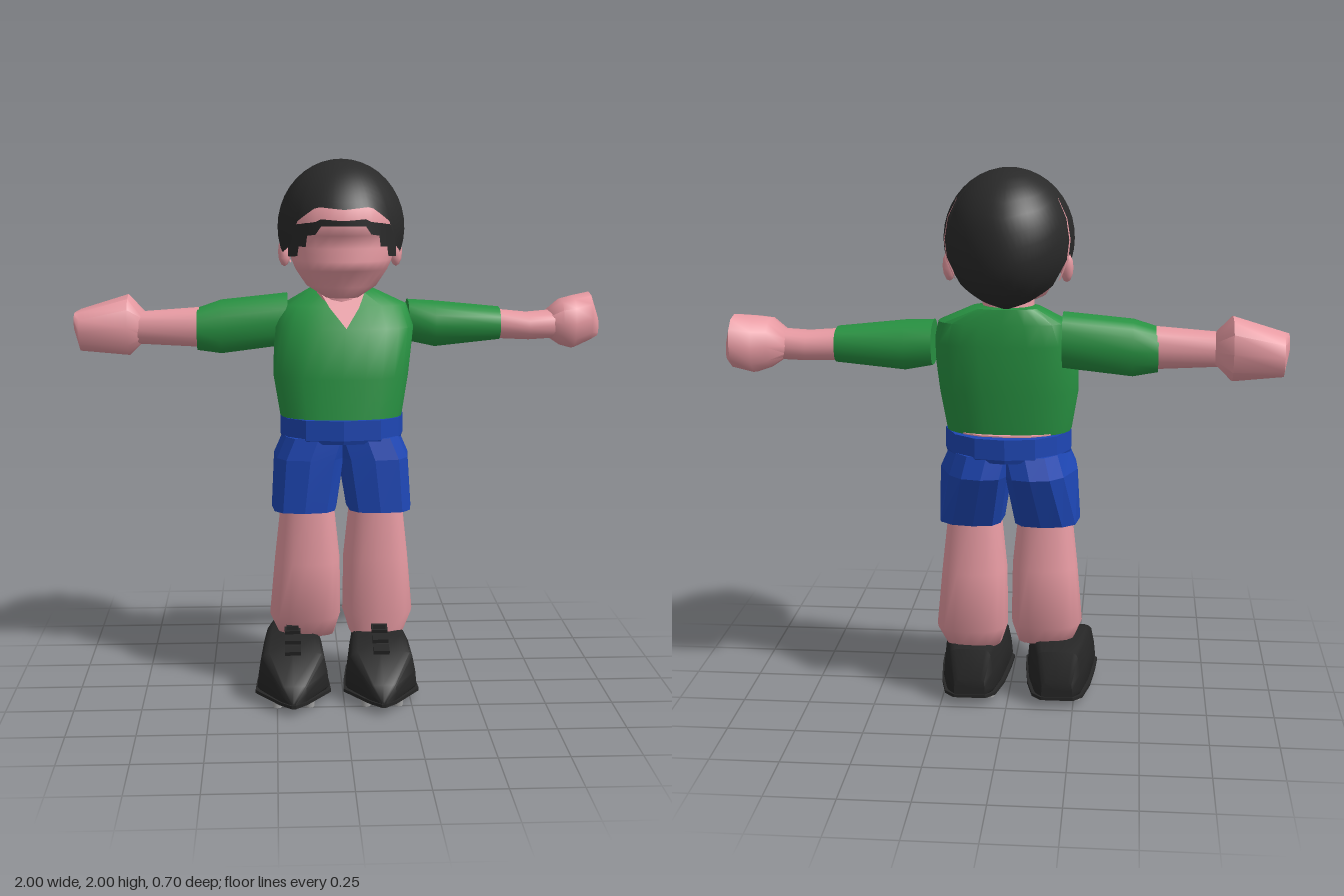
import * as THREE from 'three';
import { toCreasedNormals } from 'three/addons/utils/BufferGeometryUtils.js';

const mat = (name, color) => Object.assign(new THREE.MeshStandardMaterial({ color }), { name });
const skin = mat('skin', 0xe89ba3);
const green = mat('shirt green', 0x289242);
const blue = mat('shorts blue', 0x1e47b5);
const black = mat('boot black', 0x262626);
const dark = mat('hair black', 0x292929);
const grey = mat('stud grey', 0xa8a8a8);
dark.side = skin.side = THREE.DoubleSide;

export function createModel() {
  const model = new THREE.Group();

  const add = (name, geometry, material, x = 0, y = 0, z = 0) => {
    const mesh = new THREE.Mesh(geometry, material);
    mesh.name = name;
    mesh.position.set(x, y, z);
    model.add(mesh);
    return mesh;
  };

  const fromData = (pos, idx, crease) => {
    const g = new THREE.BufferGeometry();
    g.setAttribute('position', new THREE.Float32BufferAttribute(pos, 3));
    g.setIndex(idx);
    return toCreasedNormals(g, crease);
  };

  // Loft along an axis. Section: [t, a0, a1, b0, b1]; a and b are the next axes in x-y-z-x order.
  const loft = (axis, sections, { n = 16, p = 0.8, crease = 0.75, rule } = {}) => {
    const pos = [], idx = [];
    const pw = v => Math.sign(v) * Math.pow(Math.abs(v), p);
    const put = (t, a, b) => {
      const v = [0, 0, 0];
      v[axis] = t; v[(axis + 1) % 3] = a; v[(axis + 2) % 3] = b;
      if (rule) rule(v);
      pos.push(...v);
    };
    for (const [t, a0, a1, b0, b1] of sections)
      for (let i = 0; i < n; i++) {
        const r = (i / n) * Math.PI * 2;
        put(t, (a0 + a1) / 2 + (a1 - a0) / 2 * pw(Math.cos(r)), (b0 + b1) / 2 + (b1 - b0) / 2 * pw(Math.sin(r)));
      }
    const last = (sections.length - 1) * n;
    for (const s of [sections[0], sections.at(-1)]) put(s[0], (s[1] + s[2]) / 2, (s[3] + s[4]) / 2);
    for (let i = 0; i < n; i++) {
      const j = (i + 1) % n;
      for (let k = 0; k < last; k += n) idx.push(k + i, k + j, k + n + j, k + i, k + n + j, k + n + i);
      idx.push(last + n, j, i, last + n + 1, last + i, last + j);
    }
    return fromData(pos, idx, crease);
  };

  // Strip of quads between pairs of points
  const strip = pairs => {
    const idx = [];
    for (let i = 2; i < pairs.length * 2; i += 2) idx.push(i - 2, i - 1, i + 1, i - 2, i + 1, i);
    return fromData(pairs.flat(), idx, 0.5);
  };

  // Head: y, back, front, right, left
  add('head', loft(1, [
    [1.5, -0.03, 0.07, -0.06, 0.06], [1.54, -0.16, 0.09, -0.13, 0.13], [1.6, -0.18, 0.11, -0.17, 0.17],
    [1.637, -0.19, 0.15, -0.185, 0.185], [1.68, -0.2, 0.09, -0.195, 0.195], [1.73, -0.2, 0.145, -0.2, 0.2],
    [1.78, -0.2, 0.145, -0.2, 0.2], [1.85, -0.2, 0.12, -0.19, 0.19], [1.94, -0.15, 0.02, -0.1, 0.1],
  ], { n: 24, p: 1, crease: 2 }), skin);
  add('neck', loft(1, [[1.43, -0.21, -0.03, -0.1, 0.1], [1.58, -0.19, -0.03, -0.09, 0.09]], { p: 1 }), skin);
  for (const s of [-1, 1]) {
    const ear = add('ear', new THREE.SphereGeometry(1, 8, 6), skin, s * 0.21, 1.655, -0.145);
    ear.scale.set(0.024, 0.055, 0.03);
    ear.rotation.x = -0.2;
  }

  // Hair: ellipsoid shell whose lower edge height follows the angle from the front
  const edge = [[0, 1.825], [0.45, 1.835], [0.8, 1.78], [0.95, 1.7], [1.1, 1.68], [1.4, 1.66], [1.85, 1.7],
    [1.93, 1.72], [2.03, 1.6], [2.5, 1.54], [3.15, 1.51]];
  const edgeY = a => {
    const i = edge.findIndex(e => e[0] >= a) || 1;
    const [p, q] = [edge[i - 1], edge[i]];
    return p[1] + (q[1] - p[1]) * (a - p[0]) / (q[0] - p[0]);
  };
  // The back of the skull shape is fuller toward the nape
  const onSkull = (a, t, grow = 0) => [
    (0.235 + grow) * Math.sin(t) * Math.sin(a), 1.75 + 0.25 * Math.cos(t),
    -0.08 + (0.27 + grow) * Math.sin(t) * Math.cos(a) - 0.05 * Math.max(0, -Math.cos(t)) * Math.max(0, -Math.cos(a)),
  ];
  const cols = 64, rows = 12, hp = [], hi = [];
  for (let c = 0; c <= cols; c++) {
    const a = (c / cols) * Math.PI * 2 - Math.PI;
    const max = Math.acos((edgeY(Math.abs(a)) - 1.75) / 0.25);
    for (let r = 0; r <= rows; r++) {
      const v = onSkull(a, max * r / rows);
      // The fringe juts forward toward its edge
      v[2] += 0.022 * Math.max(0, Math.cos(a)) * (r / rows) ** 3;
      hp.push(...v);
      if (c < cols && r < rows) {
        const k = c * (rows + 1) + r, m = k + rows + 1;
        hi.push(k, k + 1, m + 1, k, m + 1, m);
      }
    }
  }
  add('hair', fromData(hp, hi, 0.5), dark);

  // Narrow skin parting behind each ear
  for (const s of [-1, 1])
    add('parting', strip([0, 0.25, 0.5, 0.75, 1].map(k => {
      const t = 0.93 + 1.22 * k, w = 0.008 + 0.03 * k;
      return [...onSkull(s * (1.95 - w), t, 0.004), ...onSkull(s * (1.95 + w), t, 0.004)];
    })), skin);

  // Jagged dark locks lying on the forehead: x, top, bottom
  const half = [[0.02, 1.785, 1.765], [0.08, 1.79, 1.765], [0.1, 1.78, 1.735], [0.13, 1.775, 1.73],
    [0.135, 1.775, 1.69], [0.16, 1.77, 1.69], [0.165, 1.77, 1.655], [0.197, 1.76, 1.65]];
  const locks = [...half.map(([x, t, b]) => [-x, t, b]).reverse(), ...half];
  add('foreheadLocks', strip(locks.map(([x, t, b]) => {
    const z = -0.02 + 0.178 * Math.sqrt(1 - (x / 0.205) ** 2);
    return [x, t, z, x, b, z];
  })), dark);

  // Shirt body and open neckline
  add('shirt', loft(1, [
    [1.05, -0.22, 0.085, -0.23, 0.23], [1.2, -0.24, 0.07, -0.255, 0.255], [1.38, -0.25, 0.045, -0.25, 0.275],
    [1.46, -0.25, -0.03, -0.22, 0.25], [1.515, -0.24, -0.08, -0.12, 0.13],
  ], { n: 24 }), green);
  add('neckline', fromData([0.015, 1.385, 0.053, -0.045, 1.457, -0.012, 0.065, 1.457, -0.012,
    -0.08, 1.515, -0.065, 0.09, 1.515, -0.065], [0, 2, 1, 1, 2, 4, 1, 4, 3], 0.5), skin);

  // Arms: x, bottom, top, back, front
  add('rightSleeve', loft(0, [
    [-0.54, 1.285, 1.445, -0.235, -0.06], [-0.45, 1.27, 1.475, -0.255, -0.06], [-0.2, 1.3, 1.5, -0.27, -0.07],
  ]), green);
  add('rightForearm', loft(0, [[-0.78, 1.31, 1.43, -0.22, -0.09], [-0.5, 1.295, 1.45, -0.235, -0.065]]), skin);
  add('rightHand', loft(0, [
    [-1, 1.36, 1.43, -0.2, -0.1], [-0.98, 1.28, 1.44, -0.27, -0.08], [-0.8, 1.262, 1.495, -0.3, -0.06],
    [-0.74, 1.32, 1.43, -0.24, -0.1],
  ], { n: 12, crease: 1 }), skin);
  add('leftSleeve', loft(0, [
    [0.26, 1.31, 1.47, -0.3, -0.1], [0.36, 1.29, 1.465, -0.3, -0.075], [0.61, 1.315, 1.44, -0.28, -0.11],
  ]), green);
  add('leftForearm', loft(0, [[0.56, 1.32, 1.435, -0.27, -0.12], [0.72, 1.315, 1.42, -0.26, -0.1],
    [0.84, 1.32, 1.43, -0.26, -0.12]]), skin);
  add('leftHand', loft(0, [
    [0.79, 1.33, 1.42, -0.26, -0.13], [0.85, 1.29, 1.47, -0.3, -0.1], [0.9, 1.275, 1.48, -0.33, -0.11],
    [0.97, 1.3, 1.49, -0.355, -0.15], [1, 1.32, 1.4, -0.28, -0.19],
  ], { n: 12, crease: 1 }), skin);

  // Shorts: waistband plus two flared legs, narrowing toward the back
  const faceted = {
    n: 12, p: 0.75, crease: 0.1,
    rule: v => { v[0] *= 1 - 1.8 * Math.max(0, -0.14 - v[2]); },
  };
  add('waistband', loft(1, [[0.96, -0.275, 0.1, -0.225, 0.23], [0.975, -0.28, 0.105, -0.23, 0.235],
    [1.05, -0.28, 0.105, -0.23, 0.235]], faceted), blue);
  add('waist', loft(1, [[1, -0.24, 0.07, -0.2, 0.2], [1.055, -0.24, 0.08, -0.2, 0.2]]), skin);
  for (const s of [-1, 1]) {
    const span = (inner, outer) => s > 0 ? [inner, outer] : [-outer, -inner];
    add(s > 0 ? 'leftShortsLeg' : 'rightShortsLeg', loft(1, [
      [0.7, -0.2, 0.1, ...span(0.018, 0.265)], [0.9, -0.285, 0.1, ...span(-0.015, 0.255)],
      [0.98, -0.265, 0.09, ...span(-0.04, 0.22)],
    ], { ...faceted, p: 0.6 }), blue);
  }

  // Legs, boots, laces and studs for each side
  for (const [side, s, cx, zo] of [['right', -1, -0.19, 0.055], ['left', 1, 0.14, 0]]) {
    const span = (inner, outer) => s > 0 ? [inner, outer] : [-outer, -inner];
    add(side + 'Leg', loft(1, [
      [0.2, -0.15 + zo, 0.03, ...span(0.03, 0.24)], [0.28, -0.2 + zo, 0.04 + zo, ...span(0.005, 0.275)],
      [0.5, -0.18 + zo, 0.045 + zo, ...span(0.008, 0.255)], [0.71, -0.155 + zo, 0.035 + zo, ...span(0.03, 0.232)],
    ], { crease: 1.2 }), skin);

    // Half-width and height along the boot, narrowing toward the top
    const boot = [[-0.225, 0.06, 0.1], [-0.19, 0.095, 0.21], [-0.08, 0.12, 0.22], [0.07, 0.135, 0.215],
      [0.17, 0.14, 0.185], [0.3, 0.05, 0.1], [0.34, 0.008, 0.05]];
    add(side + 'Boot', loft(2, boot.map(([z, w, h]) => [z, -w, w, 0.035, h]), {
      n: 16, p: 0.3, rule: v => { v[0] *= 1 - 1.1 * (v[1] - 0.035); },
    }), black, cx);
    const outline = [...boot.map(([z, w]) => [w, z]), ...boot.map(([z, w]) => [-w, z]).reverse()];
    const sole = new THREE.ExtrudeGeometry(new THREE.Shape(outline.map(([x, z]) => new THREE.Vector2(x, z))),
      { depth: 0.012, bevelEnabled: false });
    add(side + 'Sole', sole.rotateX(Math.PI / 2), black, cx, 0.042).scale.set(1.01, 1, 1.02);

    for (const [y, z] of [[0.24, 0.065], [0.22, 0.12], [0.195, 0.175]])
      add(side + 'Lace', new THREE.BoxGeometry(0.06, 0.015, 0.05), black, cx, y, z).rotation.x = 0.2;
    add(side + 'Tongue', new THREE.BoxGeometry(0.045, 0.05, 0.02), black, cx, 0.235, 0.075);

    for (const [z, w] of [[0.24, 0.06], [0.11, 0.085], [-0.14, 0.07]])
      for (const e of [-w, w])
        add(side + 'Stud', new THREE.CylinderGeometry(0.02, 0.017, 0.036, 8), grey, cx + e, 0.018, z);
  }
  return model;
}
